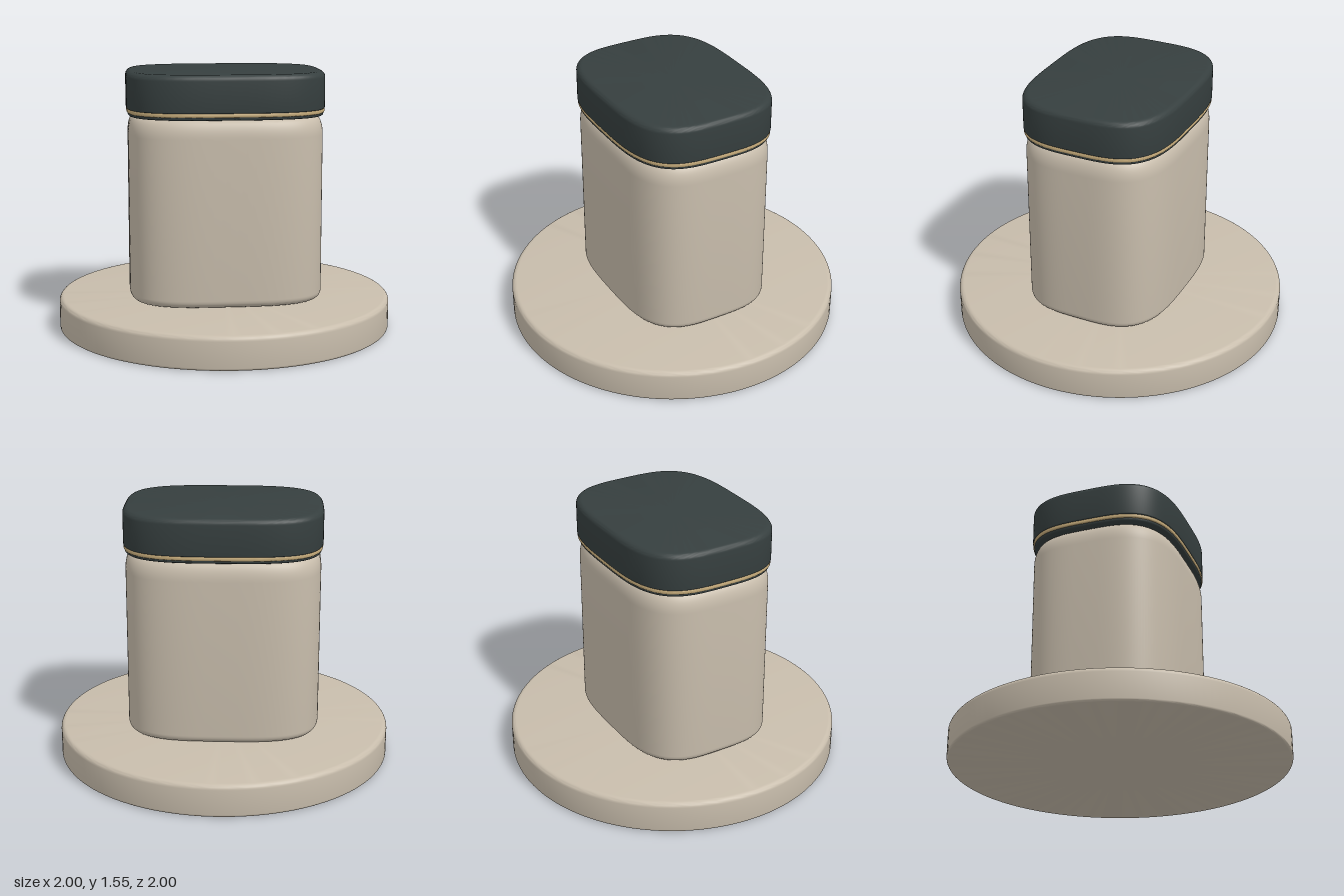
import * as THREE from 'three';
import { toCreasedNormals } from 'three/addons/utils/BufferGeometryUtils.js';

const HALF_X = 0.586, HALF_Z = 0.456, POWER = 3.4, SIDES = 128;

// Quarter-ellipse of [inset, y] points; up = top edge, otherwise bottom edge
function roundEdge(inset, y, rx, ry, up, steps = 8) {
  const pts = [];
  for (let i = 0; i <= steps; i++) {
    const t = (up ? i : steps - i) / steps * Math.PI / 2;
    pts.push([inset + rx * (1 - Math.cos(t)), y + (up ? -ry : ry) * (1 - Math.sin(t))]);
  }
  return pts;
}

// Closed squircle solid swept through [inset, y] rings from bottom to top
function squircleLoft(profile) {
  const pos = [], idx = [];
  for (const [inset, y] of profile) {
    for (let i = 0; i < SIDES; i++) {
      const t = i / SIDES * Math.PI * 2, c = Math.cos(t), s = Math.sin(t);
      pos.push(
        (HALF_X - inset) * Math.sign(c) * Math.abs(c) ** (2 / POWER), y,
        (HALF_Z - inset) * Math.sign(s) * Math.abs(s) ** (2 / POWER));
    }
  }
  const last = (profile.length - 1) * SIDES, bottom = pos.length / 3, top = bottom + 1;
  pos.push(0, profile[0][1], 0, 0, profile.at(-1)[1], 0);
  for (let i = 0; i < SIDES; i++) {
    const j = (i + 1) % SIDES;
    for (let r = 0; r < last; r += SIDES) {
      idx.push(r + i, r + SIDES + i, r + j, r + j, r + SIDES + i, r + SIDES + j);
    }
    idx.push(bottom, i, j, top, last + j, last + i);
  }
  const geo = new THREE.BufferGeometry();
  geo.setAttribute('position', new THREE.Float32BufferAttribute(pos, 3));
  geo.setIndex(idx);
  return toCreasedNormals(geo, 0.6);
}

export function createModel() {
  const stone = new THREE.MeshStandardMaterial({ color: 0xc8bdac });
  const charcoal = new THREE.MeshStandardMaterial({ color: 0x363f3f });
  const brass = new THREE.MeshStandardMaterial({ color: 0xc2a878 });
  stone.name = 'stone';
  charcoal.name = 'charcoal';
  brass.name = 'brass';

  const model = new THREE.Group();
  const add = (parent, name, geometry, material) => {
    const mesh = new THREE.Mesh(geometry, material);
    mesh.name = name;
    parent.add(mesh);
  };

  // Round plinth with softened rims
  const plinth = [[0, 0], ...roundEdge(0, 0, 0.015, 0.015, false, 4),
    ...roundEdge(0, 0.195, 0.03, 0.03, true, 6), [1, 0.195]]
    .map(([inset, y]) => new THREE.Vector2(1 - inset, y));
  plinth[0].x = 0;
  add(model, 'plinth', toCreasedNormals(new THREE.LatheGeometry(plinth, 128), 0.6), stone);

  // Jar, turned a little on its plinth
  const jar = new THREE.Group();
  jar.name = 'jar';
  jar.rotation.y = -THREE.MathUtils.degToRad(12);
  model.add(jar);

  add(jar, 'body', squircleLoft([
    ...roundEdge(0.01, 0.2, 0.04, 0.045, false),
    ...roundEdge(0.01, 1.295, 0.05, 0.11, true, 10)]), stone);
  add(jar, 'neck', squircleLoft([[0.03, 1.27], [0.03, 1.33]].map(([d, y]) => [d + 0.03, y])), charcoal);
  add(jar, 'lidSeal', squircleLoft([
    ...roundEdge(0.008, 1.295, 0.012, 0.01, false, 4), [0.008, 1.315]]), charcoal);
  add(jar, 'trimBand', squircleLoft([
    ...roundEdge(0.002, 1.312, 0.008, 0.008, false, 4),
    ...roundEdge(0.002, 1.338, 0.008, 0.008, true, 4)]), brass);
  add(jar, 'lid', squircleLoft([
    ...roundEdge(0, 1.335, 0.008, 0.008, false, 4),
    ...roundEdge(0, 1.553, 0.035, 0.035, true)]), charcoal);

  return model;
}
